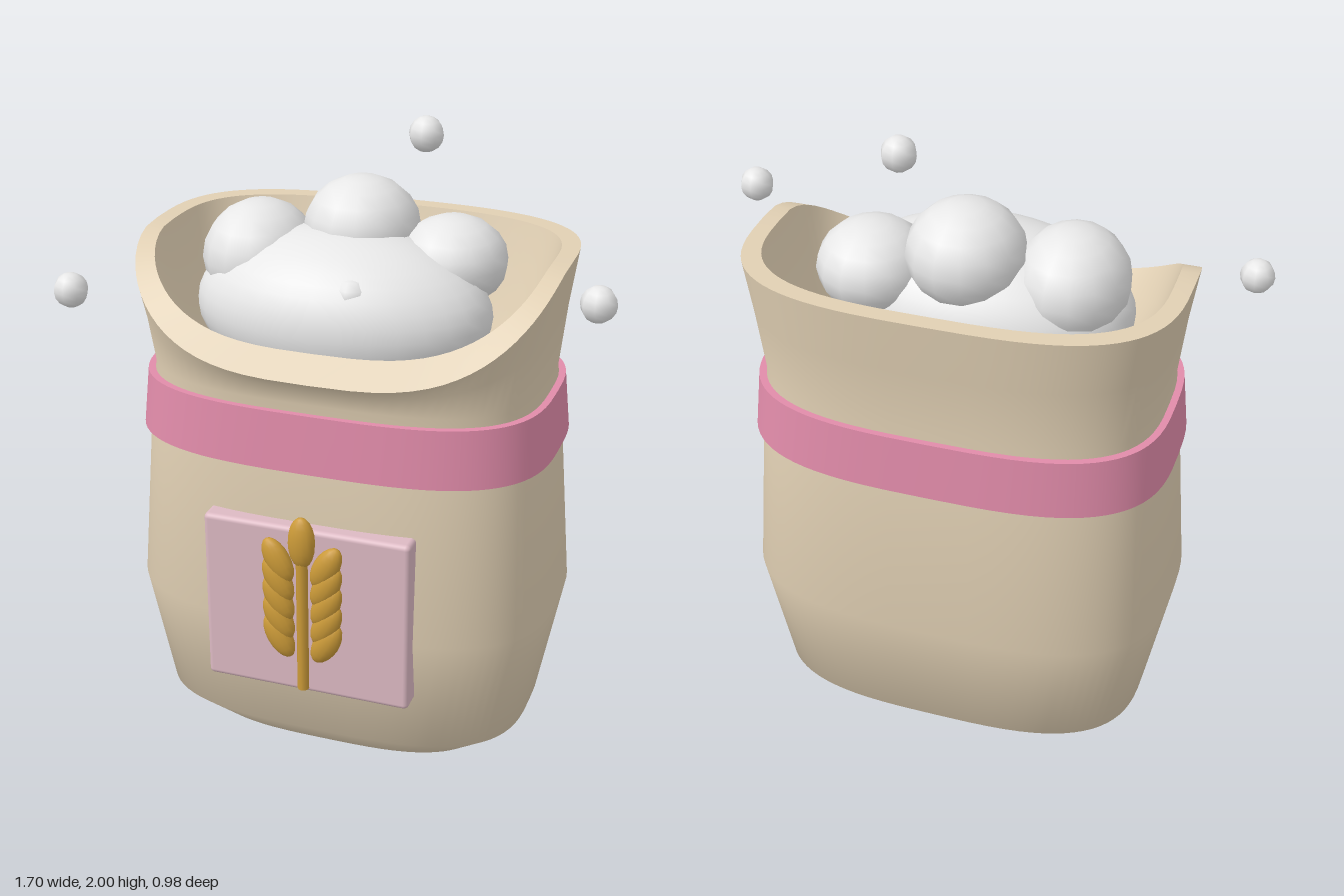
import * as THREE from 'three';
import { toCreasedNormals } from 'three/addons/utils/BufferGeometryUtils.js';
import { RoundedBoxGeometry } from 'three/addons/geometries/RoundedBoxGeometry.js';

const mat = (name, color, side = THREE.FrontSide) => {
  const m = new THREE.MeshStandardMaterial({ color, side });
  m.name = name;
  return m;
};

const CENTER_Z = -0.037, NECK = 1.24, RIM = 1.625;
const rounded = (v) => Math.sign(v) * Math.pow(Math.abs(v), 2 / 3.1);

// Lofts rounded-rectangle rings [y, halfWidth, halfDepth]; the mouth dips toward the front.
function loft(rings, segments = 80) {
  const pos = [], index = [];
  rings.forEach(([y, rx, rz], i) => {
    for (let j = 0; j < segments; j++) {
      const t = (j / segments) * Math.PI * 2;
      const x = rx * rounded(Math.cos(t));
      const z = CENTER_Z + rz * rounded(Math.sin(t));
      const weight = Math.max(0, (y - NECK) / (RIM - NECK));
      pos.push(x, y - weight * 1.86 * Math.max(0, z) ** 2, z);
      if (i === rings.length - 1) continue;
      const k = (j + 1) % segments;
      const a = i * segments + j, b = i * segments + k;
      index.push(a, a + segments, b, b, a + segments, b + segments);
    }
  });
  const g = new THREE.BufferGeometry();
  g.setAttribute('position', new THREE.Float32BufferAttribute(pos, 3));
  g.setIndex(index);
  return toCreasedNormals(g, 0.8);
}

export function createModel() {
  const root = new THREE.Group();
  root.name = 'flourSack';
  const cloth = mat('sackCloth', 0xe0cfb3, THREE.DoubleSide);
  const band = mat('pinkBand', 0xe08ba9, THREE.DoubleSide);
  const paper = mat('labelPink', 0xdcb9c3);
  const flour = mat('flourWhite', 0xf2f2f2);
  const gold = mat('wheatGold', 0xcb9a38);

  const add = (name, geometry, material, parent = root) => {
    const m = new THREE.Mesh(geometry, material);
    m.name = name;
    parent.add(m);
    return m;
  };
  const blob = (name, material, [x, y, z], [rx, ry, rz], w, h, parent) => {
    const m = add(name, new THREE.SphereGeometry(1, w, h), material, parent);
    m.position.set(x, y, z);
    m.scale.set(rx, ry, rz);
    return m;
  };

  // Sack: outside wall, thick rim and inside wall, open at the bottom
  add('sack', loft([
    [0, 0.48, 0.30], [0.1, 0.605, 0.397], [0.5, 0.682, 0.449], [1.03, 0.64, 0.425],
    [NECK, 0.618, 0.402], [1.45, 0.64, 0.425], [RIM, 0.665, 0.442],
    [RIM, 0.61, 0.387], [1.45, 0.56, 0.34], [1.25, 0.46, 0.28],
  ]), cloth);

  // Band around the neck
  add('band', loft([
    [1.03, 0.63, 0.41], [1.03, 0.66, 0.439], [1.213, 0.642, 0.424], [1.213, 0.61, 0.395],
  ]), band);

  // Label plate
  add('label', new RoundedBoxGeometry(0.66, 0.57, 0.09, 3, 0.016), paper).position.set(0, 0.58, 0.395);

  // Wheat ear
  const wheat = new THREE.Group();
  wheat.name = 'wheatEar';
  wheat.position.z = 0.465;
  root.add(wheat);
  add('stem', new THREE.CylinderGeometry(0.018, 0.018, 0.5, 10), gold, wheat).position.y = 0.575;
  blob('topGrain', gold, [0, 0.835, 0], [0.043, 0.085, 0.03], 14, 10, wheat);
  for (const side of [-1, 1]) {
    for (let i = 0; i < 5; i++) {
      const grain = blob('grain', gold, [side * 0.077, 0.5 + i * 0.066, 0], [0.04, 0.078, 0.028], 14, 10, wheat);
      grain.rotation.z = -side * 0.5;
    }
  }

  // Flour mound with lumps
  blob('flourMound', flour, [-0.02, 1.43, 0.03], [0.465, 0.25, 0.305], 32, 20);
  const lumps = [
    [[-0.30, 1.56, 0], [0.175, 0.17, 0.2]],
    [[0, 1.65, -0.087], [0.18, 0.16, 0.187]],
    [[0.285, 1.57, -0.10], [0.17, 0.14, 0.18]],
    [[0.075, 1.545, 0.235], [0.065, 0.055, 0.055]],
  ];
  lumps.forEach(([p, r], i) => blob('flourLump', flour, p, r, i < 3 ? 14 : 8, i < 3 ? 10 : 6));

  // Floating puffs
  for (const p of [[0.19, 1.947, -0.115], [0.795, 1.598, 0.205], [-0.795, 1.487, 0.315]]) {
    blob('flourPuff', flour, p, [0.054, 0.054, 0.054], 8, 8);
  }
  return root;
}
